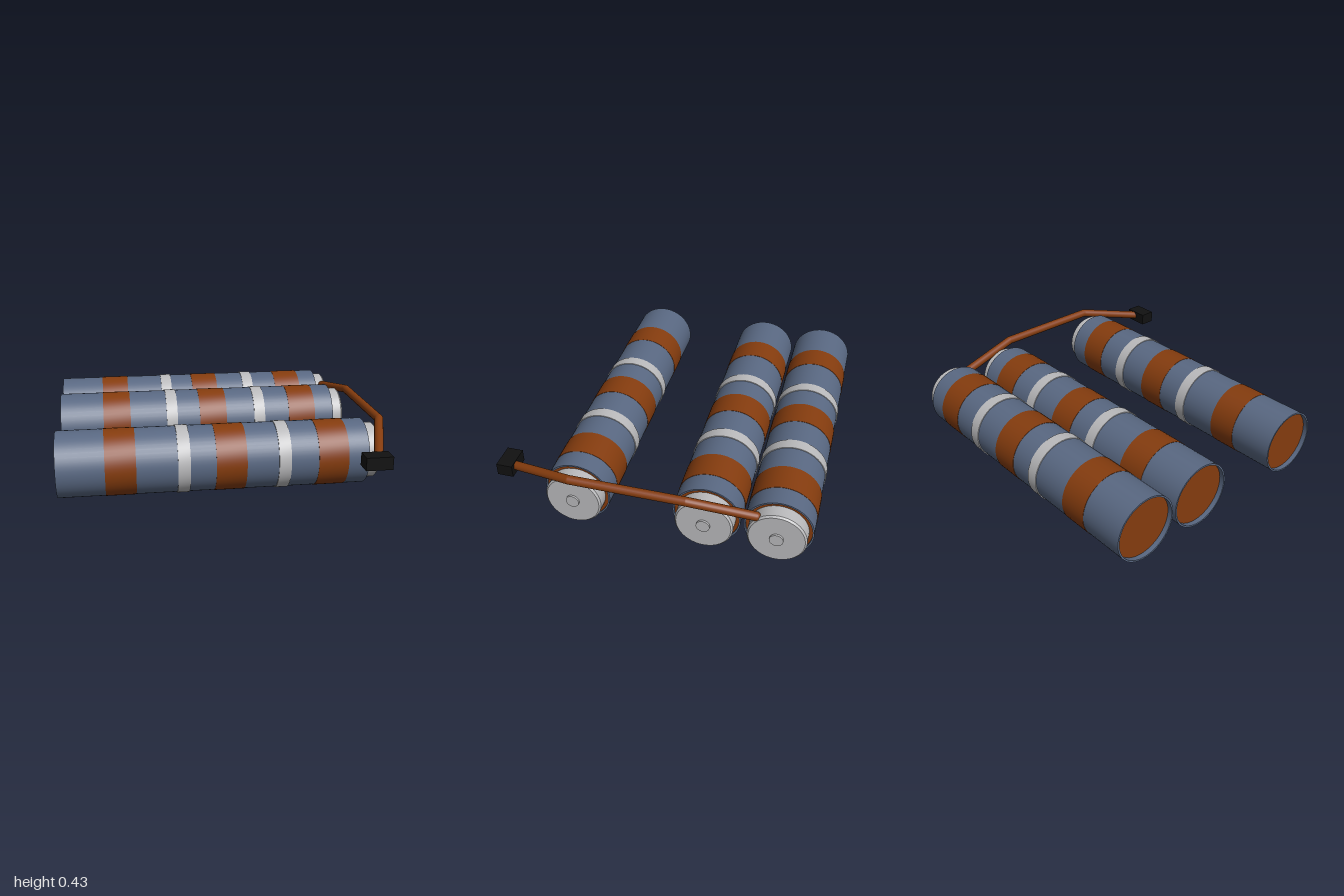
import * as THREE from 'three';
import { toCreasedNormals } from 'three/addons/utils/BufferGeometryUtils.js';

const mat = (name, color) => new THREE.MeshStandardMaterial({ name, color });

export function createModel() {
  const blue = mat('sleeveBlue', 0x596882);
  const brown = mat('copperBrown', 0x853c0e);
  const grey = mat('metalGrey', 0xbababc);
  const black = mat('plugBlack', 0x111111);

  const model = new THREE.Group();
  model.name = 'cellPack';

  // Profile of [radius, x] points turned around the x axis
  const turned = (name, points, material) => {
    const lathe = new THREE.LatheGeometry(points.map(p => new THREE.Vector2(...p)), 48);
    const mesh = new THREE.Mesh(toCreasedNormals(lathe.rotateZ(-Math.PI / 2), 0.5), material);
    mesh.name = name;
    return mesh;
  };
  // Closed ring between two radii
  const ring = (name, inner, outer, x0, x1, material) =>
    turned(name, [[inner, x0], [outer, x0], [outer, x1], [inner, x1], [inner, x0]], material);

  const makeCell = () => {
    const cell = new THREE.Group();
    cell.name = 'cell';
    // Hollow sleeve around a slightly recessed core
    cell.add(ring('sleeve', 0.19, 0.2, -1, 0.855, blue));
    cell.add(turned('core', [[0, -0.97], [0.19, -0.97], [0.19, 0.845], [0, 0.845]], brown));
    // Painted bands and raised metal straps
    for (const [a, b] of [[-0.718, -0.538], [-0.07, 0.112], [0.545, 0.728]])
      cell.add(ring('band', 0.195, 0.202, a, b, brown));
    for (const [a, b] of [[-0.295, -0.222], [0.303, 0.377]])
      cell.add(ring('strap', 0.195, 0.205, a, b, grey));
    // End cap with bevelled rim and centre terminal
    cell.add(turned('cap', [[0, 0.84], [0.17, 0.84], [0.17, 0.922], [0.16, 0.933], [0, 0.933]], grey));
    cell.add(turned('terminal', [[0, 0.92], [0.04, 0.92], [0.04, 0.945], [0, 0.945]], grey));
    return cell;
  };

  for (const z of [0.456, -0.327, -0.745]) {
    const cell = makeCell();
    cell.position.set(0, 0.207, z);
    model.add(cell);
  }

  // Cable: straight runs with rounded joints
  const path = [[0.825, 0.3, 0.88], [0.968, 0.402, 0.45], [0.968, 0.402, -0.235], [0.908, 0.33, -0.62]]
    .map(p => new THREE.Vector3(...p));
  const cable = new THREE.Group();
  cable.name = 'cable';
  path.forEach((p, i) => {
    const joint = new THREE.Mesh(new THREE.SphereGeometry(0.027, 20, 14), brown);
    joint.name = 'cableJoint';
    joint.position.copy(p);
    cable.add(joint);
    if (i === 0) return;
    const dir = p.clone().sub(path[i - 1]);
    const run = new THREE.Mesh(new THREE.CylinderGeometry(0.027, 0.027, dir.length(), 20), brown);
    run.name = 'cableRun';
    run.position.copy(p).add(path[i - 1]).multiplyScalar(0.5);
    run.quaternion.setFromUnitVectors(new THREE.Vector3(0, 1, 0), dir.normalize());
    cable.add(run);
  });
  model.add(cable);

  // Plug at the front end of the cable
  const plug = new THREE.Mesh(new THREE.BoxGeometry(0.158, 0.077, 0.098), black);
  plug.name = 'plug';
  plug.position.set(0.81, 0.3, 0.896);
  model.add(plug);

  return model;
}
